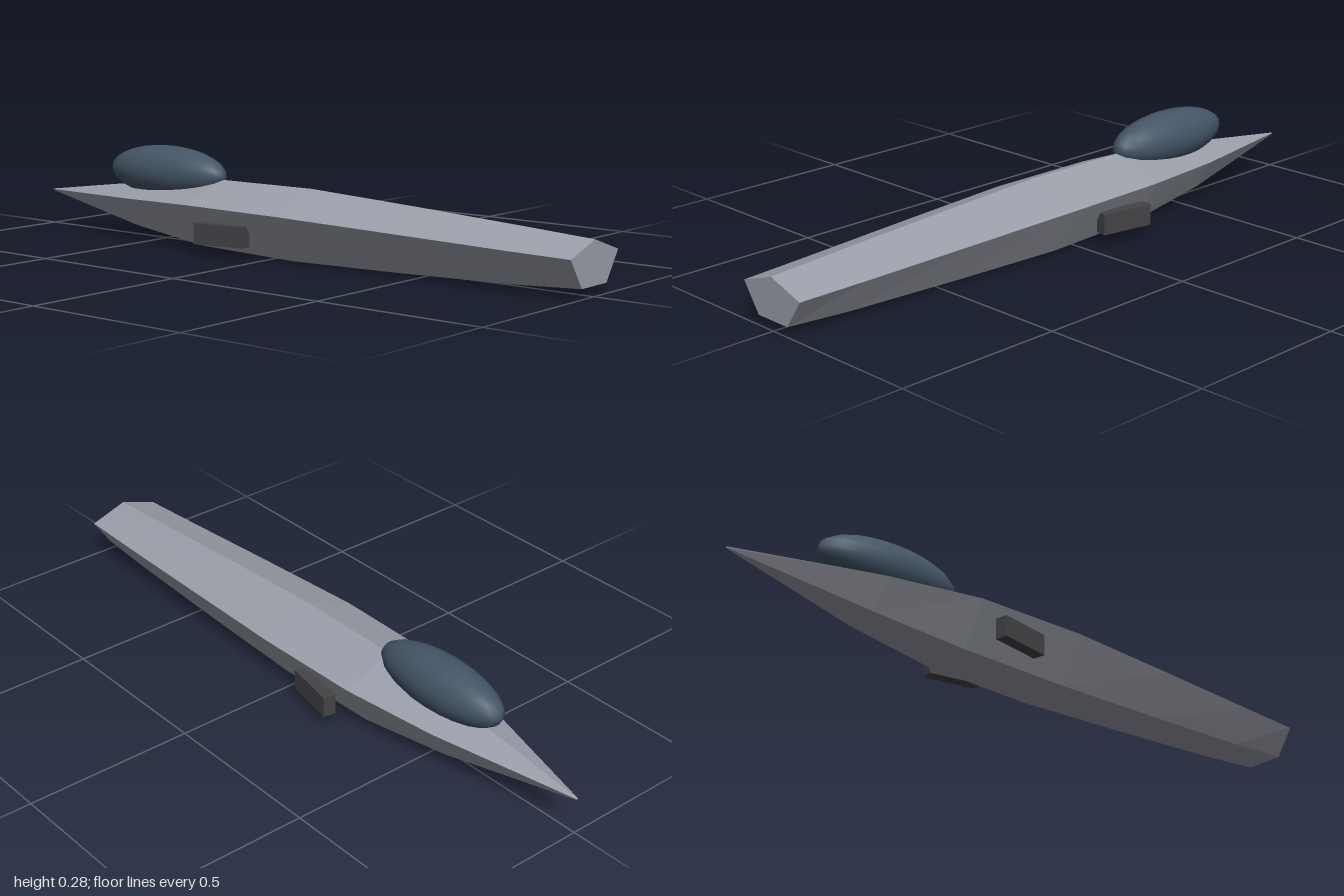
import * as THREE from 'three';

// Hull stations: z, half width, bottom y, top y (nose to tail)
const STATIONS = [
  [-1, 0.003, 0.106, 0.111],
  [-0.57, 0.108, 0.04, 0.169],
  [-0.28, 0.152, 0.01, 0.198],
  [0.07, 0.158, 0.002, 0.2],
  [0.44, 0.142, 0.009, 0.182],
  [0.8, 0.125, 0.019, 0.162],
  [1, 0.115, 0.03, 0.15],
];

// Five-sided section: ridge, chine, keel edge, keel edge, chine
function section([z, w, bottom, top]) {
  const chine = bottom + 0.68 * (top - bottom);
  return [
    [0, top, z], [w, chine, z], [0.52 * w, bottom, z],
    [-0.52 * w, bottom, z], [-w, chine, z],
  ];
}

function hullGeometry() {
  const rings = STATIONS.map(section);
  const positions = [];
  const tri = (a, b, c) => positions.push(...a, ...b, ...c);

  // Skin between neighbouring sections
  for (let i = 0; i < rings.length - 1; i++) {
    for (let j = 0; j < 5; j++) {
      const k = (j + 1) % 5;
      const [a, b, c, d] = [rings[i][j], rings[i][k], rings[i + 1][k], rings[i + 1][j]];
      tri(a, d, c);
      tri(a, c, b);
    }
  }

  // Nose and tail caps
  const nose = rings[0];
  const tail = rings[rings.length - 1];
  for (let j = 1; j < 4; j++) {
    tri(nose[0], nose[j], nose[j + 1]);
    tri(tail[0], tail[j + 1], tail[j]);
  }

  const geometry = new THREE.BufferGeometry();
  geometry.setAttribute('position', new THREE.Float32BufferAttribute(positions, 3));
  geometry.computeVertexNormals();
  return geometry;
}

export function createModel() {
  const model = new THREE.Group();
  model.name = 'spacecraft';

  const add = (name, geometry, material) => {
    const mesh = new THREE.Mesh(geometry, material);
    mesh.name = name;
    model.add(mesh);
    return mesh;
  };

  // Faceted hull
  add('hull', hullGeometry(), new THREE.MeshStandardMaterial({ color: 0x9a9ea8, flatShading: true }));

  // Canopy bubble
  const canopy = add('canopy', new THREE.SphereGeometry(1, 20, 14),
    new THREE.MeshStandardMaterial({ color: 0x445566 }));
  canopy.scale.set(0.079, 0.079, 0.228);
  canopy.position.set(0, 0.206, -0.493);

  // Side intakes, splayed outwards towards the nose
  const dark = new THREE.MeshStandardMaterial({ color: 0x444448 });
  for (const side of [1, -1]) {
    const intake = add(side > 0 ? 'leftIntake' : 'rightIntake',
      new THREE.BoxGeometry(0.037, 0.062, 0.165), dark);
    intake.position.set(side * 0.15, 0.064, -0.142);
    intake.rotation.y = -side * 0.18;
  }

  return model;
}
